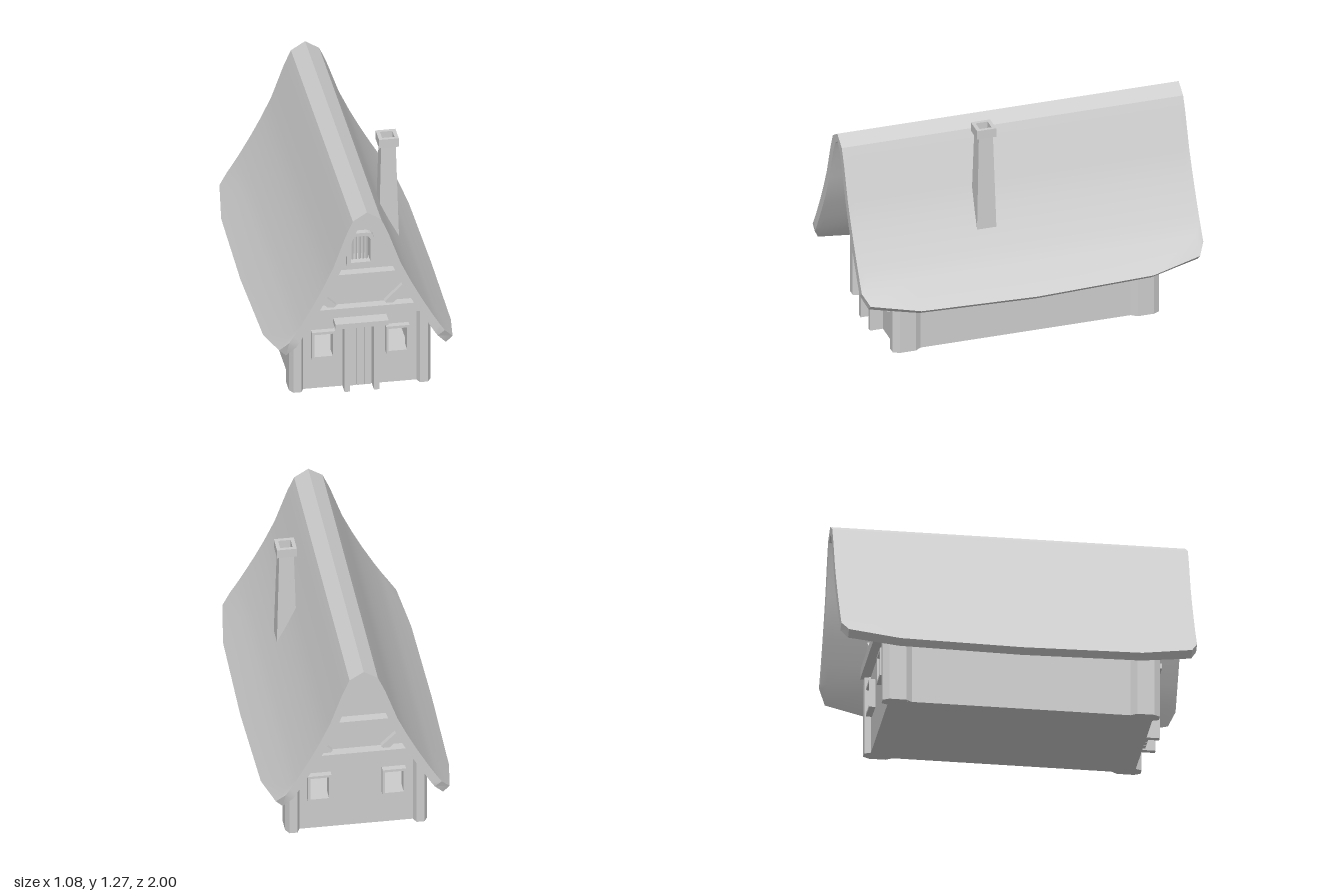
import * as THREE from 'three';
import { toCreasedNormals } from 'three/addons/utils/BufferGeometryUtils.js';

const material = new THREE.MeshStandardMaterial({ color: 0xcccccc, side: THREE.DoubleSide });
const FRONT = 0.765, BACK = -0.725, MID = 0.02;

// Right half of the roof section, from the ridge down, without the eave tips
const OUTER = [[0, 1.22], [0.08, 1.17], [0.12, 1.08], [0.19, 0.885], [0.25, 0.758], [0.307, 0.65], [0.37, 0.54], [0.415, 0.467]];
const INNER = [[0, 1.17], [0.04, 1.14], [0.07, 1.08], [0.145, 0.87], [0.2, 0.745], [0.25, 0.65], [0.32, 0.53], [0.38, 0.43]];
// Eave tips by distance from the middle: z, outer tip, inner tip
const TIPS = [[0, [0.54, 0.3], [0.503, 0.27]], [0.68, [0.53, 0.315], [0.492, 0.285]],
  [0.965, [0.49, 0.37], [0.452, 0.335]], [1, [0.44, 0.43], [0.4, 0.4]]];

function add(parent, name, geometry, x = 0, y = 0, z = 0) {
  const mesh = new THREE.Mesh(geometry, material);
  mesh.name = name;
  mesh.position.set(x, y, z);
  parent.add(mesh);
  return mesh;
}

// Box given by its x, y and z ranges
function block(parent, name, [x0, x1], [y0, y1], [z0, z1]) {
  return add(parent, name, new THREE.BoxGeometry(x1 - x0, y1 - y0, z1 - z0), (x0 + x1) / 2, (y0 + y1) / 2, (z0 + z1) / 2);
}

const polygon = (points) => new THREE.Shape(points.map(([x, y]) => new THREE.Vector2(x, y)));
const rectangle = (x0, x1, y0, y1) => polygon([[x0, y0], [x1, y0], [x1, y1], [x0, y1]]);
const extrude = (shape, depth) => new THREE.ExtrudeGeometry(shape, { depth, bevelEnabled: false, curveSegments: 5 });
const mirrored = (half) => [...half.slice(1).reverse().map(([x, y]) => [-x, y]), ...half];

// Window outline with a rounded top
function arch(w, y0, y1, r) {
  const s = new THREE.Shape();
  s.moveTo(-w, y0);
  s.lineTo(w, y0);
  s.lineTo(w, y1 - r);
  s.quadraticCurveTo(w, y1, w - r, y1);
  s.lineTo(r - w, y1);
  s.quadraticCurveTo(-w, y1, -w, y1 - r);
  s.closePath();
  return s;
}

// Curved thatch: the section is swept along z while the eaves rise at the ends
function roofGeometry() {
  const stations = [...TIPS.slice(1).reverse().map(([z, o, i]) => [-z, o, i]), ...TIPS];
  const positions = [], index = [];
  let n = 0;
  for (const [z, o, i] of stations) {
    const ring = [...mirrored([...OUTER, o]), ...mirrored([...INNER, i]).reverse()];
    n = ring.length;
    for (const [x, y] of ring) positions.push(x, y, z);
  }
  const quad = (a, b, c, d) => index.push(a, b, c, a, c, d);
  const last = (stations.length - 1) * n;
  for (let k = 0; k < last; k += n) {
    for (let i = 0; i < n; i++) {
      const j = (i + 1) % n;
      quad(k + i, k + n + i, k + n + j, k + j);
    }
  }
  for (let i = 0; i < n / 2 - 1; i++) {
    quad(last + i, last + n - 1 - i, last + n - 2 - i, last + i + 1);
    quad(i, i + 1, n - 2 - i, n - 1 - i);
  }
  const g = new THREE.BufferGeometry();
  g.setAttribute('position', new THREE.Float32BufferAttribute(positions, 3));
  g.setIndex(index);
  return toCreasedNormals(g, 0.42);
}

// End wall with timbers and windows, its outer face at z = 0
function endWall(isFront) {
  const g = new THREE.Group();
  g.name = isFront ? 'frontEnd' : 'backEnd';
  const slope = OUTER.slice(0, 7).map(([x, y], i) => [(x + INNER[i][0]) / 2, (y + INNER[i][1]) / 2]);
  const wall = polygon(mirrored([...slope, [0.375, 0.48], [0.375, 0]]));
  for (const s of [-1, 1]) wall.holes.push(rectangle(s * 0.21 - 0.052, s * 0.21 + 0.052, 0.215, 0.355));
  if (isFront) wall.holes.push(arch(0.055, 0.795, 0.96, 0.035));
  add(g, 'gableWall', extrude(wall, 0.04), 0, 0, -0.04);

  for (const s of [-1, 1]) {
    const frame = rectangle(s * 0.21 - 0.066, s * 0.21 + 0.066, 0.2, 0.37);
    frame.holes.push(rectangle(s * 0.21 - 0.052, s * 0.21 + 0.052, 0.215, 0.355));
    add(g, 'windowFrame', extrude(frame, 0.05), 0, 0, -0.015);
    const brace = add(g, 'brace', new THREE.BoxGeometry(0.17, 0.042, 0.04), s * 0.212, 0.575, 0.01);
    brace.rotation.z = s * 0.77;
  }
  block(g, 'lowerBeam', [-0.36, 0.36], [0.465, 0.52], [-0.02, 0.055]);
  block(g, 'upperBeam', [-0.24, 0.24], [0.68, 0.735], [-0.02, 0.055]);
  return g;
}

export function createModel() {
  const house = new THREE.Group();
  house.name = 'cottage';
  add(house, 'roof', roofGeometry());

  const front = endWall(true), back = endWall(false);
  front.position.z = FRONT;
  back.position.z = BACK;
  back.rotation.y = Math.PI;
  house.add(front, back);

  // Attic window on the front gable
  const frame = arch(0.077, 0.775, 0.98, 0.05);
  frame.holes.push(arch(0.055, 0.795, 0.96, 0.035));
  add(front, 'atticWindowFrame', extrude(frame, 0.045), 0, 0, -0.01);
  for (let i = 0; i < 5; i++) {
    const bar = add(front, 'atticWindowBar', new THREE.BoxGeometry(0.011, 0.17, 0.011), (i - 2) * 0.02, 0.878, -0.01);
    bar.rotation.y = Math.PI / 4;
  }

  // Plank door with posts and lintel
  for (const s of [-1, 1]) block(front, 'doorPost', [s * 0.083 - 0.015, s * 0.083 + 0.015], [0, 0.405], [-0.02, 0.075]);
  block(front, 'doorLintel', [-0.15, 0.15], [0.405, 0.435], [-0.02, 0.08]);
  for (let i = -1; i <= 1; i++) block(front, 'doorPlank', [i * 0.042 - 0.018, i * 0.042 + 0.018], [0.005, 0.405], [-0.01, 0.015]);

  // Long walls, floor and chamfered corner posts
  for (const s of [-1, 1]) {
    block(house, 'sideWall', [s * 0.355 - 0.02, s * 0.355 + 0.02], [0, 0.47], [BACK + 0.001, FRONT - 0.001]);
    for (const e of [-1, 1]) {
      const plan = [[0.32, 0.745], [0.335, 0.78], [0.38, 0.78], [0.4, 0.745], [0.4, 0.65], [0.375, 0.615], [0.32, 0.615]];
      const post = extrude(polygon(plan.map(([x, z]) => [s * x, -(MID + e * z)])), 0.465);
      add(house, 'cornerPost', post.rotateX(-Math.PI / 2));
    }
  }
  block(house, 'floor', [-0.374, 0.374], [0, 0.02], [BACK + 0.001, FRONT - 0.001]);

  // Tapered square chimney with an open cap
  const chimney = new THREE.Group();
  chimney.name = 'chimney';
  chimney.position.set(0.25, 0, 0.225);
  const shaft = new THREE.CylinderGeometry(0.041 * Math.SQRT2, 0.058 * Math.SQRT2, 0.63, 4, 1, true);
  add(chimney, 'chimneyShaft', toCreasedNormals(shaft.rotateY(Math.PI / 4), 0.5), 0, 0.915, 0);
  const cap = rectangle(-0.056, 0.056, -0.056, 0.056);
  cap.holes.push(rectangle(-0.035, 0.035, -0.035, 0.035));
  add(chimney, 'chimneyCap', extrude(cap, 0.053).rotateX(-Math.PI / 2), 0, 1.218, 0);
  block(chimney, 'flueFloor', [-0.041, 0.041], [1.17, 1.18], [-0.041, 0.041]);
  house.add(chimney);
  return house;
}
